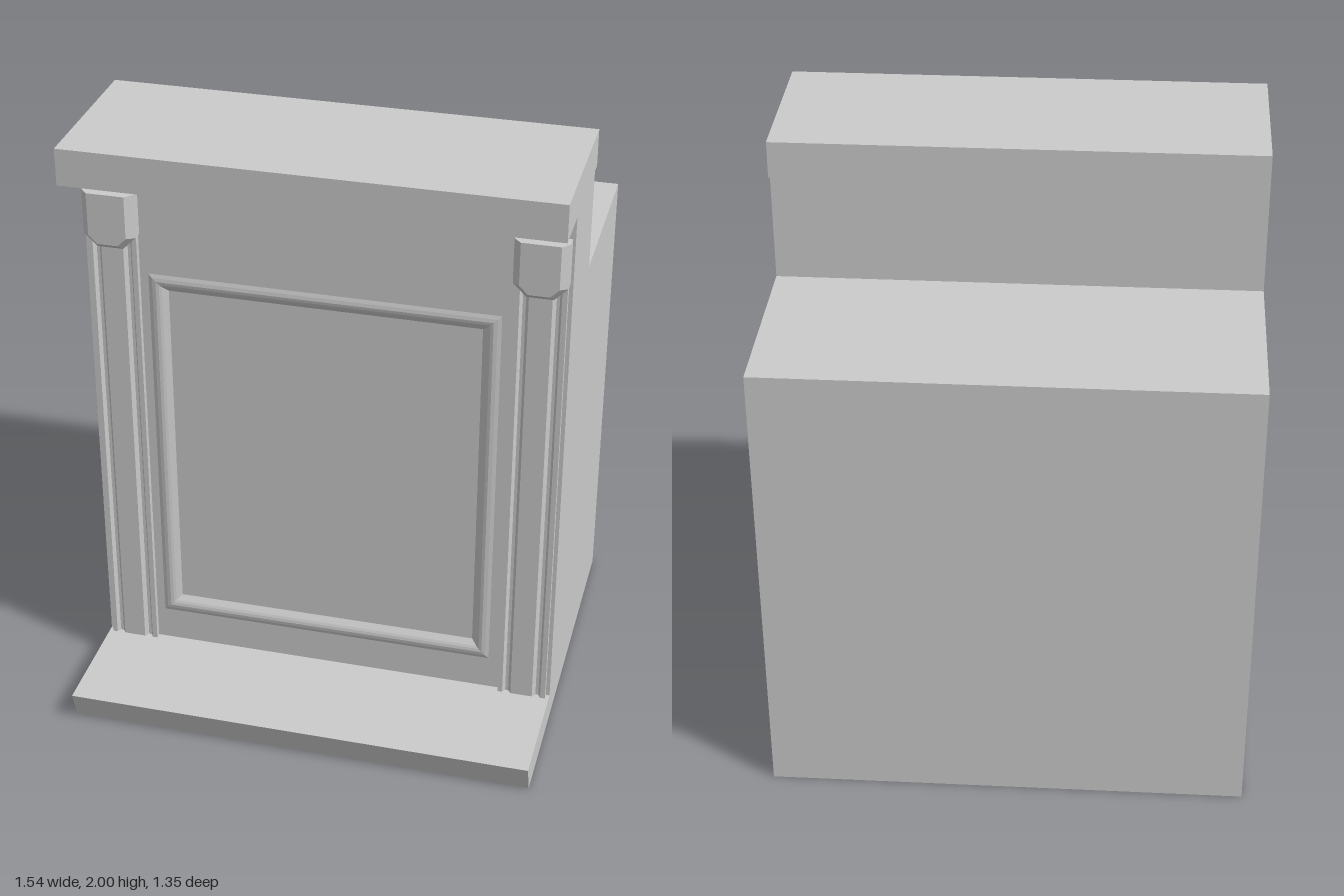
import * as THREE from 'three';

const material = new THREE.MeshStandardMaterial({ color: 0xcccccc, side: THREE.DoubleSide });
const X0 = -0.77, X1 = 0.765, MID = (X0 + X1) / 2;
const FRONT = 0.28;

function flatGeometry(positions, index) {
  const g = new THREE.BufferGeometry();
  g.setAttribute('position', new THREE.Float32BufferAttribute(positions, 3));
  g.setIndex(index);
  const flat = g.toNonIndexed();
  flat.computeVertexNormals();
  return flat;
}

// Open strip: a side outline of [z, y] points swept across the full width
function sweep(path) {
  const pos = [], idx = [];
  path.forEach(([z, y], i) => {
    pos.push(X0, y, z, X1, y, z);
    if (i > 0) {
      const a = 2 * (i - 1);
      idx.push(a, a + 1, a + 3, a, a + 3, a + 2);
    }
  });
  return flatGeometry(pos, idx);
}

// Joins equal-sized rings of [x, y, z] points and caps the last one
function loft(rings) {
  const n = rings[0].length, idx = [];
  for (let r = 0; r < rings.length - 1; r++) {
    for (let i = 0; i < n; i++) {
      const a = r * n + i, b = r * n + (i + 1) % n;
      idx.push(a, b, b + n, a, b + n, a + n);
    }
  }
  const last = (rings.length - 1) * n;
  for (let i = 1; i < n - 1; i++) idx.push(last, last + i, last + i + 1);
  return flatGeometry(rings.flat(2), idx);
}

function shapeOf(points) {
  return new THREE.Shape(points.map(([x, y]) => new THREE.Vector2(x, y)));
}

function rectangle(x0, x1, y0, y1) {
  return [[x0, y0], [x1, y0], [x1, y1], [x0, y1]];
}

export function createModel() {
  const model = new THREE.Group();
  const add = (name, geometry, parent = model) => {
    const mesh = new THREE.Mesh(geometry, material);
    mesh.name = name;
    parent.add(mesh);
    return mesh;
  };

  // Side walls, including the ends of the foot step
  const side = shapeOf([
    [-0.67, 0], [0.64, 0], [0.675, 0.1], [FRONT, 0.1],
    [FRONT, 1.88], [-0.05, 1.88], [-0.05, 1.535], [-0.67, 1.535],
  ]);
  for (const [name, x] of [['leftWall', X1], ['rightWall', X0]]) {
    const wall = add(name, new THREE.ShapeGeometry(side));
    wall.rotation.y = x > 0 ? -Math.PI / 2 : -Math.PI / 2;
    wall.position.x = x;
  }

  // Foot step and back of the cabinet, open underneath
  add('footStep', sweep([[0.64, 0], [0.675, 0.1], [FRONT, 0.1]]));
  add('backAndWorktop', sweep([[-0.05, 1.88], [-0.05, 1.535], [-0.67, 1.535], [-0.67, 0]]));

  // Raised counter slab
  const slab = add('counterTop', new THREE.BoxGeometry(1.54, 0.12, 0.54));
  slab.position.set(0, 1.94, 0.218);

  // Front wall with an opening for the moulded panel
  const [px0, px1, py0, py1] = [-0.57, 0.555, 0.215, 1.505];
  const front = shapeOf(rectangle(X0, X1, 0.1, 1.88));
  front.holes.push(new THREE.Path(shapeOf(rectangle(px0, px1, py0, py1)).getPoints()));
  add('frontWall', new THREE.ShapeGeometry(front)).position.z = FRONT;

  // Moulded panel: rounded bead stepping down to a recessed field
  const bead = [[0, 0], [0.012, 0.004], [0.024, 0.006], [0.034, 0.004], [0.042, 0], [0.06, -0.014]];
  add('frontPanel', loft(bead.map(([inset, dz]) =>
    rectangle(px0 + inset, px1 - inset, py0 + inset, py1 - inset).map(([x, y]) => [x, y, FRONT + dz]))));

  // Fluted pilaster cross-section, upright after rotation
  const half = [[0.08, 0], [0.08, 0.02], [0.064, 0.02], [0.056, 0.006], [0.046, 0.006], [0.036, 0.02]];
  const flutes = shapeOf([...half, ...half.map(([x, z]) => [-x, z]).reverse()]
    .map(([x, z]) => [x, -z]));
  const shaft = new THREE.ExtrudeGeometry(flutes, { depth: 1.54, bevelEnabled: false });
  shaft.rotateX(-Math.PI / 2);

  // Bracket block: chamfered lower corners and a bevelled face
  const outline = (w, low, cut, z) => [
    [-w, 1.79, z], [-w, low + cut, z], [-w + cut, low, z],
    [w - cut, low, z], [w, low + cut, z], [w, 1.79, z],
  ];
  const bracket = loft([
    outline(0.084, 1.6, 0.042, FRONT),
    outline(0.084, 1.6, 0.042, 0.315),
    outline(0.061, 1.62, 0.028, 0.34),
  ]);

  for (const [name, s] of [['left', 1], ['right', -1]]) {
    const column = new THREE.Group();
    column.name = name + 'Column';
    column.position.x = MID + s * 0.675;
    add(name + 'Pilaster', shaft, column).position.set(0, 0.1, FRONT);
    add(name + 'Bracket', bracket, column);
    model.add(column);
  }

  return model;
}
